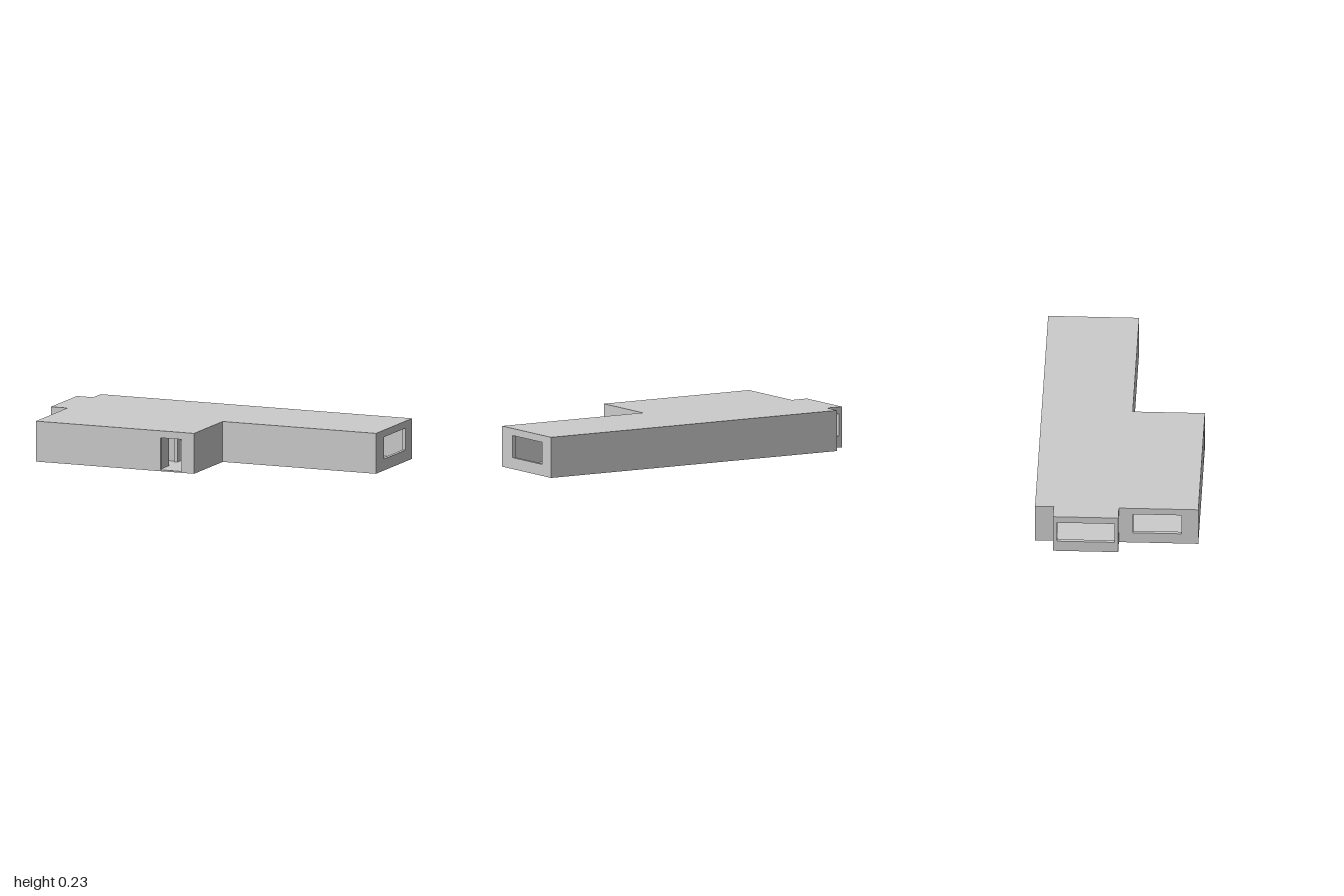
import * as THREE from 'three';

const H = 0.23, T = 0.02, SILL = 0.065, HEAD = 0.19, SLAB = 0.008;
const material = new THREE.MeshStandardMaterial({ color: 0xcccccc, flatShading: true });

const win = (a, b) => ({ a, b, sill: SILL });
const door = (a, b) => ({ a, b, sill: 0 });

// Upright wall from a to b along one axis; `at` is its lower coordinate on the other.
// Doors notch the outline, windows are holes. Openings go in rising order.
function wall(name, axis, a, b, at, openings = []) {
  const shape = new THREE.Shape().moveTo(a, 0);
  for (const o of openings) {
    if (o.sill > 0) {
      const hole = new THREE.Path();
      hole.moveTo(o.a, o.sill).lineTo(o.a, HEAD).lineTo(o.b, HEAD).lineTo(o.b, o.sill).closePath();
      shape.holes.push(hole);
    } else {
      shape.lineTo(o.a, 0).lineTo(o.a, HEAD).lineTo(o.b, HEAD).lineTo(o.b, 0);
    }
  }
  shape.lineTo(b, 0).lineTo(b, H).lineTo(a, H).closePath();
  const geo = new THREE.ExtrudeGeometry(shape, { depth: T, bevelEnabled: false });
  if (axis === 'x') geo.translate(0, 0, at);
  else geo.rotateY(-Math.PI / 2).translate(at + T, 0, 0);
  const mesh = new THREE.Mesh(geo, material);
  mesh.name = name;
  return mesh;
}

// Flat slab from an (x, z) outline, with its underside at y
function slab(name, outline, y) {
  const shape = new THREE.Shape(outline.map(([x, z]) => new THREE.Vector2(x, -z)));
  const geo = new THREE.ExtrudeGeometry(shape, { depth: SLAB, bevelEnabled: false });
  geo.rotateX(-Math.PI / 2).translate(0, y, 0);
  const mesh = new THREE.Mesh(geo, material);
  mesh.name = name;
  return mesh;
}

export function createModel() {
  const house = new THREE.Group();
  house.name = 'house';

  // Outer walls
  const outer = new THREE.Group();
  outer.name = 'outerWalls';
  outer.add(
    wall('backWall', 'x', -0.9, 1, -0.46),
    wall('frontWall', 'x', -0.9, 0.065, 0.435, [door(-0.14, -0.01)]),
    wall('wingFrontWall', 'x', 0.045, 1, 0.03),
    wall('stepWall', 'z', 0.05, 0.435, 0.045),
    wall('wingEndWall', 'z', -0.44, 0.03, 0.98, [win(-0.365, -0.06)]),
    wall('rightSideWall', 'z', -0.44, 0.435, -0.9, [door(-0.335, -0.01), win(0.09, 0.36)]),
  );

  // Glazed bay: openings on all three sides
  const bay = new THREE.Group();
  bay.name = 'bay';
  bay.add(wall('bayEndWall', 'z', -0.335, -0.01, -1, [win(-0.333, -0.012)]));
  for (const [name, z] of [['bayBackWall', -0.355], ['bayFrontWall', -0.01]]) {
    bay.add(wall(name, 'x', -1, -0.885, z, [win(-0.98, -0.9)]));
  }

  // Partitions between the rooms
  const inner = new THREE.Group();
  inner.name = 'partitions';
  inner.add(
    wall('bedroomBackPartition', 'x', -0.88, -0.425, 0.027),
    wall('bedroomDoorPartition', 'z', 0.047, 0.155, -0.445, [door(0.052, 0.15)]),
    wall('hallPartition', 'x', -0.586, -0.147, 0.155),
    wall('roomDivider', 'z', 0.175, 0.435, -0.586),
    wall('entryPartition', 'z', 0.175, 0.435, -0.167, [door(0.2, 0.32)]),
    wall('bathSidePartition', 'z', -0.44, -0.157, 0.035, [door(-0.3, -0.18)]),
    wall('bathFrontPartition', 'x', 0.035, 0.262, -0.157),
    wall('wingPartition', 'z', -0.44, 0.03, 0.262, [door(-0.11, 0.02)]),
  );

  // Floor and flat roof, set inside the outer walls and flush with them
  const main = [[-0.88, -0.44], [0.98, -0.44], [0.98, 0.03], [0.045, 0.03], [0.045, 0.435], [-0.88, 0.435]];
  const bayPlan = [[-0.98, -0.335], [-0.9, -0.335], [-0.9, -0.01], [-0.98, -0.01]];
  // Thresholds fill the floor gaps under the outer doorways
  const bayDoor = [[-0.9, -0.335], [-0.88, -0.335], [-0.88, -0.01], [-0.9, -0.01]];
  const frontDoor = [[-0.14, 0.435], [-0.01, 0.435], [-0.01, 0.455], [-0.14, 0.455]];
  house.add(
    outer, bay, inner,
    slab('floor', main, 0),
    slab('bayFloor', bayPlan, 0),
    slab('bayThreshold', bayDoor, 0),
    slab('frontThreshold', frontDoor, 0),
    slab('roof', main, H - SLAB),
    slab('bayRoof', bayPlan, H - SLAB),
  );
  return house;
}
